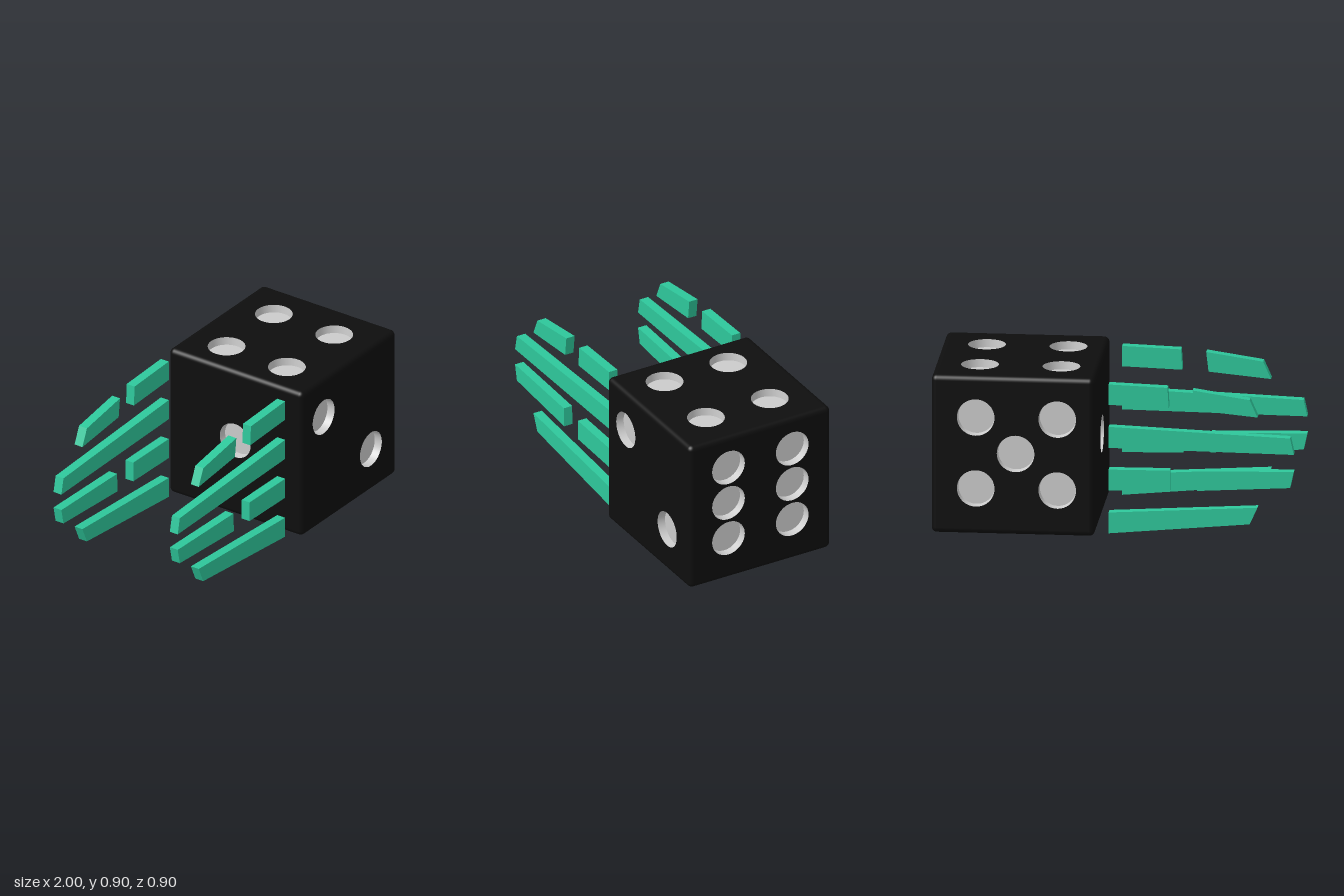
import * as THREE from 'three';
import { mergeGeometries } from 'three/addons/utils/BufferGeometryUtils.js';
import { RoundedBoxGeometry } from 'three/addons/geometries/RoundedBoxGeometry.js';

const SIZE = 0.9, HALF = SIZE / 2, EDGE = 0.03;
const PIP_R = 0.104, PIP_DEPTH = 0.045;

const black = new THREE.MeshStandardMaterial({ color: 0x0e0e0e });
const grey = new THREE.MeshStandardMaterial({ color: 0xcccccc, side: THREE.DoubleSide });
const green = new THREE.MeshStandardMaterial({ color: 0x2ec79b });

// Rounded edges and corners only: a rounded box without its six flat panels
function edgeFrame() {
  const box = new RoundedBoxGeometry(SIZE, SIZE, SIZE, 4, EDGE);
  const src = box.index ? box.toNonIndexed() : box;
  const p = src.attributes.position, n = src.attributes.normal;
  const pos = [], nor = [];
  for (let i = 0; i < p.count; i += 3) {
    const flat = [0, 1, 2].some(axis =>
      [0, 1, 2].every(k => Math.abs(p.getComponent(i + k, axis)) > HALF - 1e-5));
    if (flat) continue;
    for (let k = i; k < i + 3; k++) {
      pos.push(p.getX(k), p.getY(k), p.getZ(k));
      nor.push(n.getX(k), n.getY(k), n.getZ(k));
    }
  }
  const g = new THREE.BufferGeometry();
  g.setAttribute('position', new THREE.Float32BufferAttribute(pos, 3));
  g.setAttribute('normal', new THREE.Float32BufferAttribute(nor, 3));
  return g;
}

// Flat panel with one round hole per pip
function panel(pips) {
  const s = HALF - EDGE;
  const shape = new THREE.Shape([[-s, -s], [s, -s], [s, s], [-s, s]].map(c => new THREE.Vector2(...c)));
  for (const [x, y] of pips) {
    shape.holes.push(new THREE.Path().absarc(x, y, PIP_R, 0, Math.PI * 2, true));
  }
  return new THREE.ShapeGeometry(shape, 24);
}

// Shallow cup: slightly tapered wall and flat floor, opening towards +z
function pipCup() {
  const wall = new THREE.CylinderGeometry(PIP_R, PIP_R - 0.004, PIP_DEPTH, 48, 1, true);
  wall.rotateX(Math.PI / 2).translate(0, 0, -PIP_DEPTH / 2);
  const floor = new THREE.CircleGeometry(PIP_R - 0.004, 48).translate(0, 0, -PIP_DEPTH);
  return mergeGeometries([wall, floor]);
}

// Each face: its rotation from the front, and pip centres on the face
const Q = Math.PI / 2;
const FACES = [
  { name: 'frontFace', rot: [0, 0], pips: [[-0.245, 0.215], [0.205, -0.19]] },
  { name: 'leftFace', rot: [0, Q],
    pips: [-0.203, 0.203].flatMap(x => [-0.195, 0.03, 0.255].map(y => [x, y])) },
  { name: 'backFace', rot: [0, 2 * Q],
    pips: [[-0.205, 0.215], [0.245, 0.215], [0.015, 0.013], [-0.205, -0.19], [0.245, -0.19]] },
  { name: 'rightFace', rot: [0, -Q], pips: [[0, 0.015]] },
  { name: 'topFace', rot: [-Q, 0],
    pips: [-0.245, 0.205].flatMap(x => [-0.203, 0.203].map(y => [x, y])) },
  { name: 'bottomFace', rot: [Q, 0], pips: [[0.21, -0.203], [-0.015, 0], [-0.24, 0.203]] },
];

// Speed line outlines in x, y
const LINES = [
  [[-0.8, 0.705], [-0.455, 0.738], [-0.442, 0.85], [-0.757, 0.803]],
  [[-0.31, 0.745], [0.022, 0.756], [0.022, 0.872], [-0.303, 0.861]],
  [[-1, 0.497], [0.022, 0.51], [0.022, 0.63], [-0.98, 0.59]],
  [[-0.98, 0.307], [-0.465, 0.277], [-0.47, 0.389], [-1, 0.4]],
  [[-0.316, 0.272], [0.022, 0.266], [0.022, 0.386], [-0.316, 0.389]],
  [[-0.757, 0.094], [0.022, 0.022], [0.022, 0.141], [-0.8, 0.19]],
];

export function createModel() {
  const model = new THREE.Group();
  model.name = 'rollingDie';

  const add = (parent, name, geometry, material) => {
    const mesh = new THREE.Mesh(geometry, material);
    mesh.name = name;
    parent.add(mesh);
    return mesh;
  };

  // Die body
  const die = new THREE.Group();
  die.name = 'die';
  die.position.set(0.55, HALF, 0);
  model.add(die);
  add(die, 'roundedEdges', edgeFrame(), black);

  const cup = pipCup();
  for (const { name, rot, pips } of FACES) {
    const face = new THREE.Group();
    face.name = name;
    face.rotation.set(rot[0], rot[1], 0);
    die.add(face);
    add(face, 'panel', panel(pips), black).position.z = HALF;
    for (const [x, y] of pips) add(face, 'pip', cup, grey).position.set(x, y, HALF);
  }

  // Two rows of speed lines trailing behind the die
  for (const [name, z] of [['frontSpeedLines', 0.338], ['backSpeedLines', -0.445]]) {
    const row = new THREE.Group();
    row.name = name;
    row.position.z = z;
    model.add(row);
    for (const pts of LINES) {
      const shape = new THREE.Shape(pts.map(c => new THREE.Vector2(...c)));
      add(row, 'speedLine', new THREE.ExtrudeGeometry(shape, { depth: 0.053, bevelEnabled: false }), green);
    }
  }
  return model;
}
